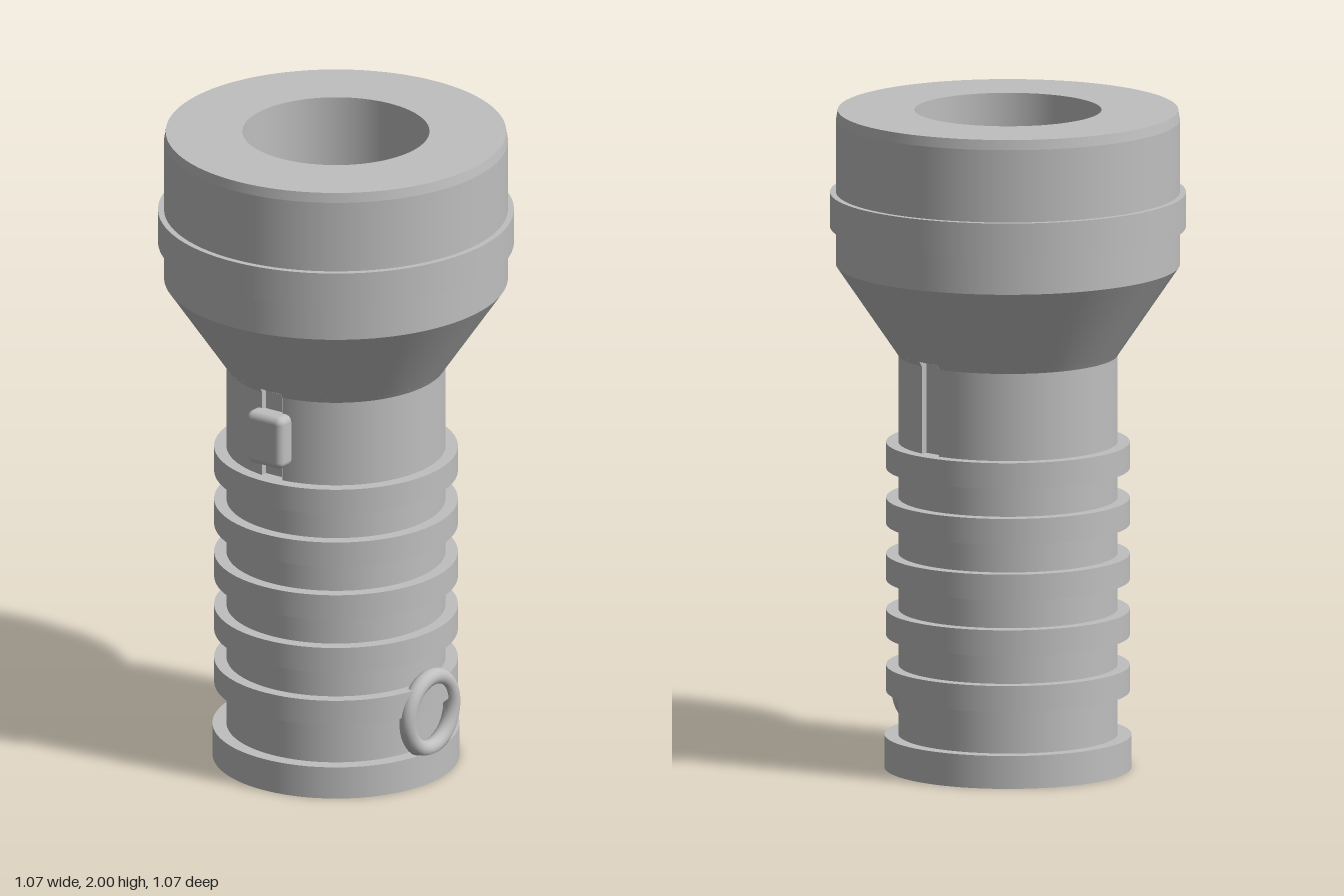
import * as THREE from 'three';
import { mergeGeometries } from 'three/addons/utils/BufferGeometryUtils.js';
import { RoundedBoxGeometry } from 'three/addons/geometries/RoundedBoxGeometry.js';

const grey = new THREE.MeshStandardMaterial({ color: 0xbfbfbf });
grey.name = 'light grey';
grey.side = THREE.DoubleSide;

const NECK_R = 0.328, SLOT_W = 0.037, SLOT_Z = 0.306;
const NECK_Y0 = 0.99, CONE_Y = 1.255, SLOT_TOP = 1.27, CUT_R = 0.338;

// Revolves a profile one segment at a time, so every corner stays sharp
function turned(profile, start = 0, length = Math.PI * 2, segments = 96) {
  const parts = [];
  for (let i = 0; i < profile.length - 1; i++) {
    const pts = [profile[i], profile[i + 1]].map(([r, y]) => new THREE.Vector2(r, y));
    parts.push(new THREE.LatheGeometry(pts, segments, start, length));
  }
  return mergeGeometries(parts);
}

function add(parent, name, geometry, x = 0, y = 0, z = 0) {
  const mesh = new THREE.Mesh(geometry, grey);
  mesh.name = name;
  mesh.position.set(x, y, z);
  parent.add(mesh);
  return mesh;
}

// Recessed track: floor, two side walls and a ceiling
function makeSlot(name) {
  const slot = new THREE.Group();
  slot.name = name;
  const height = SLOT_TOP - NECK_Y0, depth = CUT_R - SLOT_Z;
  add(slot, 'slotFloor', new THREE.PlaneGeometry(SLOT_W * 2, height), 0, (SLOT_TOP + NECK_Y0) / 2, SLOT_Z);
  const ceiling = new THREE.PlaneGeometry(SLOT_W * 2, depth).rotateX(Math.PI / 2);
  add(slot, 'slotCeiling', ceiling, 0, SLOT_TOP, SLOT_Z + depth / 2);
  const wall = new THREE.Shape([
    [SLOT_Z, NECK_Y0], [NECK_R - 0.002, NECK_Y0], [NECK_R - 0.002, CONE_Y],
    [CUT_R - 0.002, SLOT_TOP], [SLOT_Z, SLOT_TOP],
  ].map(([z, y]) => new THREE.Vector2(z, y)));
  for (const side of [-1, 1]) {
    add(slot, 'slotWall', new THREE.ShapeGeometry(wall).rotateY(-Math.PI / 2), side * SLOT_W);
  }
  return slot;
}

export function createModel() {
  const model = new THREE.Group();
  model.name = 'flashlight';

  // Base cap and handle with five grip ribs
  const grip = [[0, 0], [0.37, 0], [0.37, 0.1], [NECK_R, 0.1]];
  for (let i = 0; i < 5; i++) {
    const y = 0.233 + i * 0.1695;
    const top = i === 4 ? NECK_Y0 : y + 0.079;
    grip.push([NECK_R, y], [0.365, y], [0.365, top], [i === 4 ? SLOT_Z - 0.01 : NECK_R, top]);
  }
  add(model, 'grip', turned(grip));

  // Neck in two halves, leaving the slots open at front and back
  const gap = Math.asin(SLOT_W / NECK_R);
  const neck = [[NECK_R, NECK_Y0], [NECK_R, CONE_Y], [CUT_R, SLOT_TOP]];
  for (const [name, start] of [['neckLeft', gap], ['neckRight', Math.PI + gap]]) {
    add(model, name, turned(neck, start, Math.PI - gap * 2, 48));
  }
  model.add(makeSlot('frontSlot'));
  const backSlot = makeSlot('backSlot');
  backSlot.rotation.y = Math.PI;
  model.add(backSlot);

  // Flared head with its collar, rim and open bore
  add(model, 'head', turned([
    [CUT_R, SLOT_TOP], [0.515, 1.53], [0.515, 1.645], [0.533, 1.645], [0.533, 1.75],
    [0.515, 1.75], [0.515, 1.97], [0.51, 2], [0.28, 2],
  ]));
  add(model, 'bore', turned([[0.28, 2], [0.28, 0.1], [0, 0.1]]));

  // Sliding switch
  add(model, 'switch', new RoundedBoxGeometry(0.134, 0.165, 0.074, 4, 0.022), 0, 1.122, 0.338);

  // Lanyard ring on the side
  const ring = new THREE.TorusGeometry(0.112, 0.026, 16, 48).rotateY(Math.PI / 2);
  add(model, 'lanyardRing', ring, 0.347, 0.212, 0);

  return model;
}
